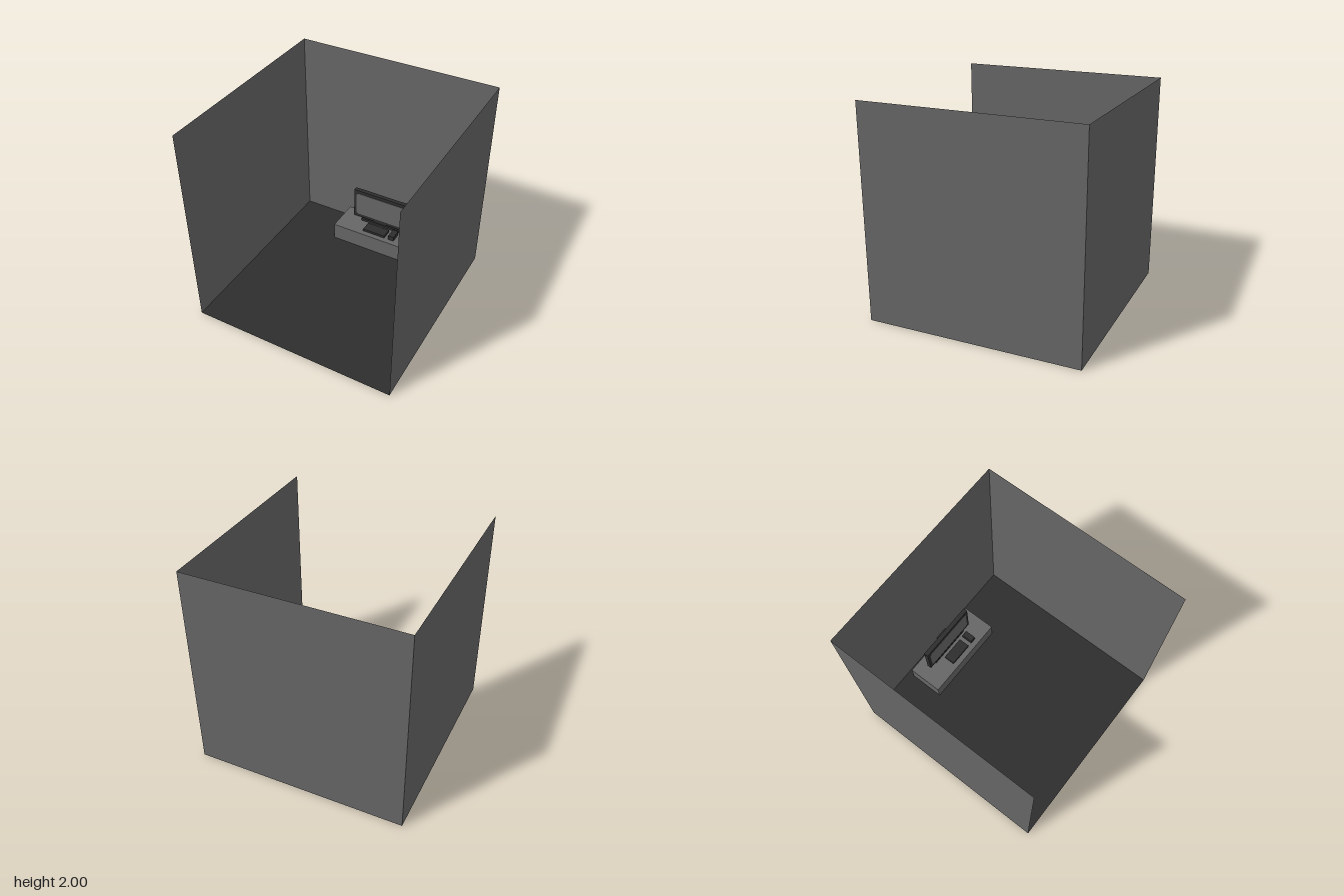
import * as THREE from 'three';

const paint = (name, color, side = THREE.FrontSide) => {
  const m = new THREE.MeshStandardMaterial({ color, side });
  m.name = name;
  return m;
};

export function createModel() {
  const grey = paint('wall grey', 0x666666, THREE.DoubleSide);
  const dark = paint('charcoal', 0x2e2e2e, THREE.DoubleSide);
  const room = new THREE.Group();
  room.name = 'room';

  const add = (parent, name, geometry, material) => {
    const mesh = new THREE.Mesh(geometry, material);
    mesh.name = name;
    parent.add(mesh);
    return mesh;
  };
  // Box given by its extents on each axis
  const box = (parent, name, material, [x0, x1], [y0, y1], [z0, z1]) =>
    add(parent, name, new THREE.BoxGeometry(x1 - x0, y1 - y0, z1 - z0), material)
      .position.set((x0 + x1) / 2, (y0 + y1) / 2, (z0 + z1) / 2);

  // Thin floor and three walls, open at the front and top
  const sheet = new THREE.PlaneGeometry(2, 2);
  add(room, 'floor', sheet, dark).rotation.x = -Math.PI / 2;
  add(room, 'backWall', sheet, grey).position.set(0, 1, -1);
  for (const [name, s] of [['leftWall', 1], ['rightWall', -1]]) {
    const wall = add(room, name, sheet, grey);
    wall.position.set(s, 1, 0);
    wall.rotation.y = -s * Math.PI / 2;
  }

  // Low desk, just clear of the floor sheet
  box(room, 'desk', grey, [-0.44, 0.44], [0.001, 0.178], [-0.933, -0.583]);

  // Monitor: base, neck and housing
  const monitor = new THREE.Group();
  monitor.name = 'monitor';
  room.add(monitor);
  box(monitor, 'standBase', dark, [-0.225, 0.22], [0.178, 0.203], [-0.867, -0.785]);
  box(monitor, 'standNeck', dark, [-0.07, 0.066], [0.203, 0.42], [-0.882, -0.824]);
  box(monitor, 'standFoot', dark, [-0.07, 0.066], [0.203, 0.226], [-0.824, -0.79]);
  box(monitor, 'housing', dark, [-0.31, 0.305], [0.225, 0.558], [-0.824, -0.78]);

  // Round-cornered screen plate
  const w = 0.279, h = 0.131, r = 0.03;
  const outline = new THREE.Shape();
  outline.absarc(w - r, h - r, r, 0, Math.PI / 2);
  outline.absarc(r - w, h - r, r, Math.PI / 2, Math.PI);
  outline.absarc(r - w, r - h, r, Math.PI, Math.PI * 1.5);
  outline.absarc(w - r, r - h, r, Math.PI * 1.5, Math.PI * 2);
  outline.closePath();
  const screen = new THREE.ExtrudeGeometry(outline, { depth: 0.004, bevelEnabled: false, curveSegments: 6 });
  add(monitor, 'screen', screen, grey).position.set(-0.002, 0.391, -0.781);

  // Keyboard and mouse
  box(room, 'keyboard', dark, [-0.125, 0.12], [0.178, 0.203], [-0.75, -0.637]);
  box(room, 'mouse', dark, [0.165, 0.226], [0.18, 0.228], [-0.75, -0.637]);
  return room;
}
